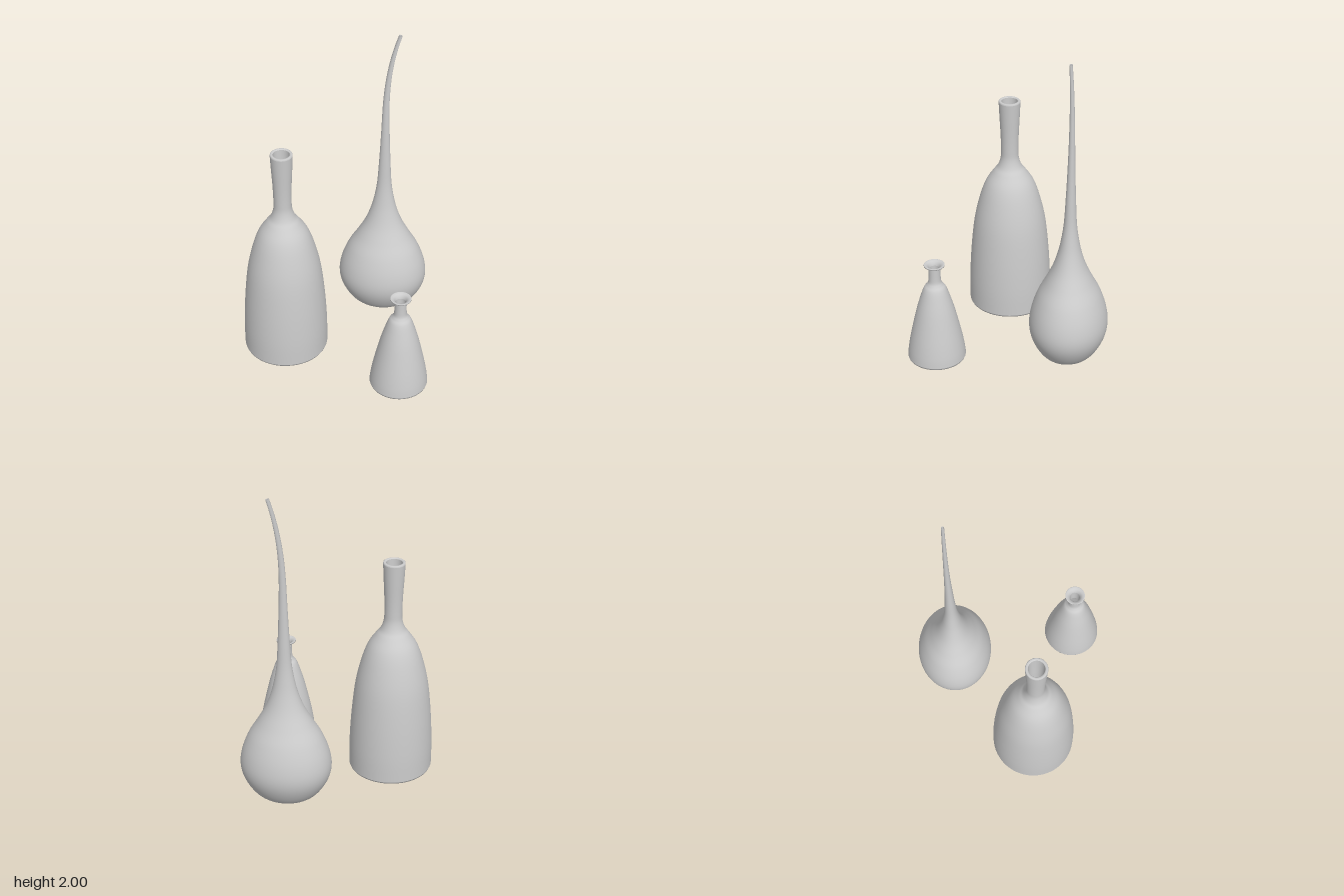
import * as THREE from 'three';

const material = new THREE.MeshStandardMaterial({ color: 0xcccccc, side: THREE.DoubleSide });
const points = (list) => list.map(([r, y]) => new THREE.Vector2(r, y));

// Smooth curve through [radius, height] pairs
const smooth = (list, count = 60) => new THREE.SplineCurve(points(list)).getPoints(count);

// Lathe whose outline is split into runs, so each run meets the next at a crisp edge
function vessel(name, runs, x, z) {
  const group = new THREE.Group();
  group.name = name;
  for (const [part, outline] of Object.entries(runs)) {
    const mesh = new THREE.Mesh(new THREE.LatheGeometry(outline, 64), material);
    mesh.name = part;
    group.add(mesh);
  }
  group.position.set(x, 0, z);
  return group;
}

// Tall bottle with a flared neck
function tallBottle() {
  return vessel('tallBottle', {
    base: points([[0, 0], [0.245, 0], [0.26, 0.005], [0.264, 0.015]]),
    wall: smooth([[0.264, 0.015], [0.263, 0.18], [0.251, 0.39], [0.228, 0.6], [0.192, 0.76],
      [0.153, 0.87], [0.105, 0.945], [0.076, 0.985], [0.058, 1.04], [0.055, 1.1],
      [0.057, 1.2], [0.063, 1.32], [0.068, 1.425]]),
    rim: points([[0.068, 1.425], [0.067, 1.432], [0.063, 1.435], [0.054, 1.435], [0.05, 1.43]]),
    lining: smooth([[0.05, 1.43], [0.046, 1.32], [0.041, 1.2], [0.04, 1.08], [0.06, 0.985],
      [0.138, 0.865], [0.212, 0.6], [0.236, 0.39], [0.247, 0.18], [0.248, 0.03]]),
    floor: points([[0.248, 0.03], [0, 0.03]]),
  }, -0.335, 0.13);
}

// Small conical bottle with a flanged lip
function smallBottle() {
  return vessel('smallBottle', {
    base: points([[0, 0], [0.168, 0], [0.177, 0.005], [0.18, 0.015]]),
    wall: smooth([[0.18, 0.015], [0.173, 0.075], [0.154, 0.178], [0.118, 0.336], [0.088, 0.44],
      [0.068, 0.495], [0.05, 0.52], [0.04, 0.54], [0.037, 0.575], [0.036, 0.635]]),
    lip: points([[0.036, 0.635], [0.04, 0.642], [0.058, 0.647], [0.063, 0.652], [0.063, 0.658]]),
    lipTop: points([[0.063, 0.658], [0.058, 0.66], [0.046, 0.655], [0.035, 0.645], [0.031, 0.63]]),
    lining: smooth([[0.031, 0.63], [0.03, 0.56], [0.034, 0.53], [0.06, 0.485], [0.078, 0.44],
      [0.108, 0.336], [0.144, 0.178], [0.168, 0.025]]),
    floor: points([[0.168, 0.025], [0, 0.025]]),
  }, 0.417, 0.425);
}

// Flattened gourd vase whose long neck bends sideways near the tip
function gourdVase() {
  const group = vessel('gourdVase', {
    body: smooth([[0, 0], [0.06, 0.001], [0.12, 0.012], [0.2, 0.06], [0.26, 0.15], [0.283, 0.24],
      [0.27, 0.34], [0.228, 0.45], [0.17, 0.55], [0.122, 0.64], [0.088, 0.73], [0.065, 0.82],
      [0.046, 0.94], [0.036, 1.1], [0.029, 1.25], [0.023, 1.42], [0.018, 1.62], [0.014, 1.82],
      [0.011, 1.994]], 120),
    tip: points([[0.011, 1.994], [0.007, 1.994], [0.007, 1.9]]),
  }, 0.233, -0.37);

  // Sideways shift of the neck by height
  const bend = (y) => 0.081 * Math.pow(Math.max(0, (y - 1.4) / 0.6), 2.5);
  for (const { geometry } of group.children) {
    const p = geometry.attributes.position;
    for (let i = 0; i < p.count; i++) {
      const x = p.getX(i), y = p.getY(i);
      const angle = Math.atan((bend(y + 0.01) - bend(y - 0.01)) / 0.02);
      p.setXYZ(i, bend(y) + x * Math.cos(angle), y - x * Math.sin(angle), p.getZ(i) * 0.85);
    }
    // Squash the lathe normals to match the flattened body
    const n = geometry.attributes.normal;
    const v = new THREE.Vector3();
    for (let i = 0; i < n.count; i++) {
      v.fromBufferAttribute(n, i);
      v.z /= 0.85;
      v.normalize();
      n.setXYZ(i, v.x, v.y, v.z);
    }
  }
  return group;
}

export function createModel() {
  const model = new THREE.Group();
  model.name = 'vaseSet';
  model.add(tallBottle(), smallBottle(), gourdVase());
  return model;
}
